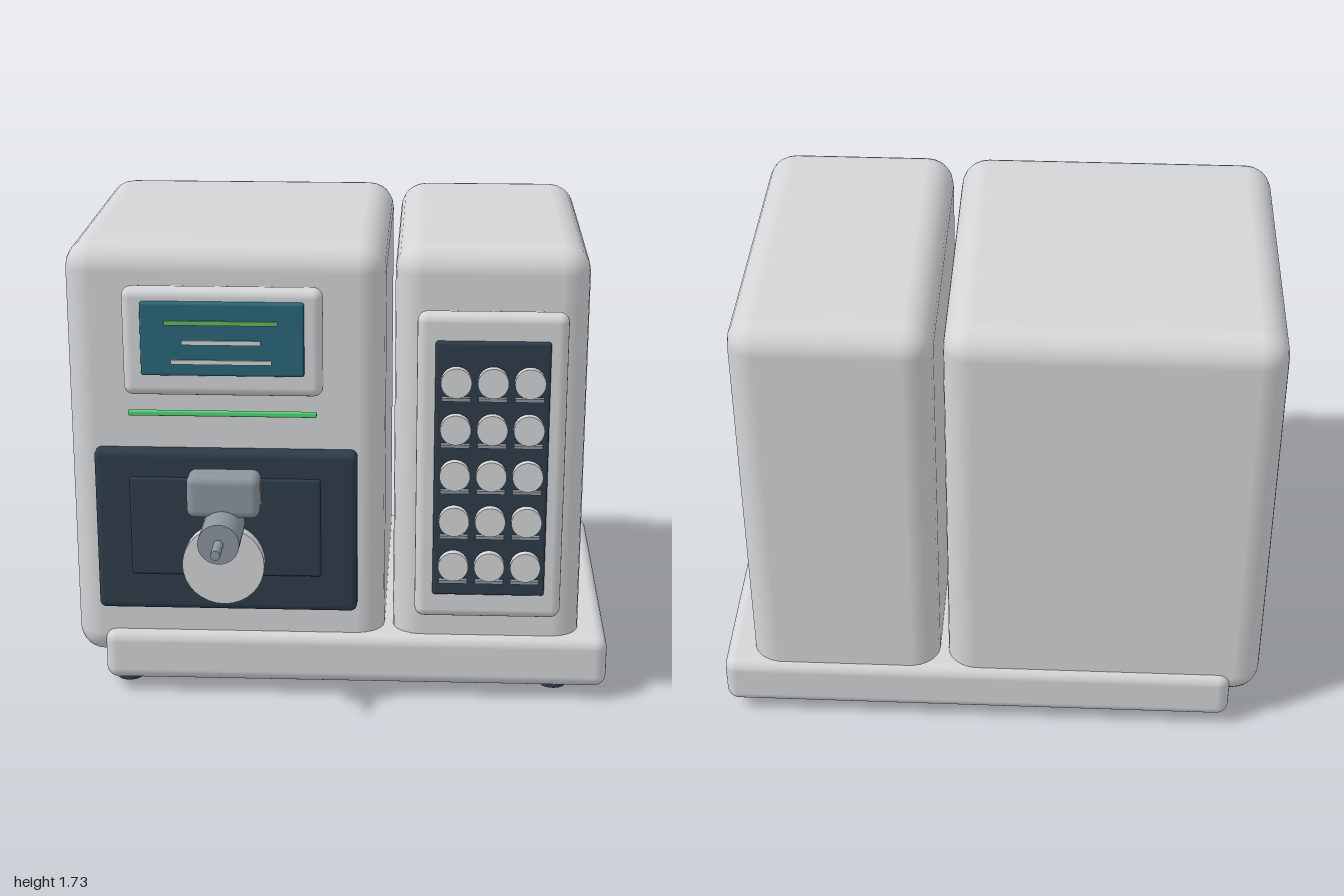
import * as THREE from 'three';
import { RoundedBoxGeometry } from 'three/addons/geometries/RoundedBoxGeometry.js';

const material = (name, color) => {
  const m = new THREE.MeshStandardMaterial({ color });
  m.name = name;
  return m;
};

export function createModel() {
  const model = new THREE.Group();
  model.name = 'coffeeMachine';

  const shell = material('light grey', 0xd4d5d7);
  const steel = material('steel grey', 0x8c959d);
  const dark = material('dark slate', 0x2d3c4a);
  const teal = material('screen teal', 0x2b667a);
  const green = material('indicator green', 0x55d276);
  const textGreen = material('text green', 0x63b85e);

  const add = (name, geometry, mat, x, y, z, parent = model) => {
    const mesh = new THREE.Mesh(geometry, mat);
    mesh.name = name;
    mesh.position.set(x, y, z);
    parent.add(mesh);
    return mesh;
  };

  // Rounded or plain box given by its limits on each axis
  const box = (name, mat, [x0, x1], [y0, y1], [z0, z1], radius = 0, parent = model) => {
    const size = [x1 - x0, y1 - y0, z1 - z0];
    const geometry = radius
      ? new RoundedBoxGeometry(...size, 3, radius)
      : new THREE.BoxGeometry(...size);
    return add(name, geometry, mat, (x0 + x1) / 2, (y0 + y1) / 2, (z0 + z1) / 2, parent);
  };

  // Cylinder lying along z
  const rod = (name, mat, x, y, [z0, z1], radius, parent = model) => {
    const geometry = new THREE.CylinderGeometry(radius, radius, z1 - z0, 32).rotateX(Math.PI / 2);
    return add(name, geometry, mat, x, y, (z0 + z1) / 2, parent);
  };

  // Base and feet
  box('base', shell, [-0.89, 1], [0.05, 0.25], [-0.855, 0.47], 0.045);
  for (const x of [-0.82, 0.808]) {
    for (const z of [-0.695, 0.31]) {
      add('foot', new THREE.CylinderGeometry(0.05, 0.05, 0.06, 24), dark, x, 0.03, z);
    }
  }

  // Two housings
  box('mainHousing', shell, [-1, 0.163], [0.13, 1.73], [-0.83, 0.435], 0.1);
  box('sideHousing', shell, [0.195, 0.893], [0.13, 1.73], [-0.83, 0.435], 0.1);

  // Display
  const display = new THREE.Group();
  display.name = 'display';
  model.add(display);
  box('displayFrame', shell, [-0.78, -0.06], [1.19, 1.59], [0.43, 0.507], 0.035, display);
  box('screen', teal, [-0.71, -0.125], [1.275, 1.545], [0.49, 0.53], 0.01, display);
  for (const [y, halfWidth, mat] of [[1.472, 0.202, textGreen], [1.4, 0.142, shell], [1.328, 0.18, shell]]) {
    box('screenLine', mat, [-0.42 - halfWidth, -0.42 + halfWidth], [y - 0.008, y + 0.008], [0.528, 0.536], 0, display);
  }
  box('statusStrip', green, [-0.76, -0.08], [1.128, 1.148], [0.525, 0.543], 0.006);

  // Brewing bay
  box('bayPanel', dark, [-0.9, 0.063], [0.353, 0.977], [0.42, 0.49], 0.025);
  box('bayInset', dark, [-0.77, -0.07], [0.497, 0.877], [0.46, 0.5], 0.01);
  box('brewHead', steel, [-0.55, -0.285], [0.76, 0.92], [0.49, 0.612], 0.03);
  rod('spoutBody', steel, -0.42, 0.717, [0.53, 0.75], 0.075);
  rod('spoutTip', steel, -0.42, 0.717, [0.74, 0.855], 0.018);
  rod('brewDisc', shell, -0.42, 0.577, [0.553, 0.6], 0.15);

  // Keypad
  const keypad = new THREE.Group();
  keypad.name = 'keypad';
  model.add(keypad);
  box('keypadFrame', shell, [0.277, 0.815], [0.345, 1.51], [0.43, 0.507], 0.035, keypad);
  box('keypadPanel', dark, [0.342, 0.752], [0.447, 1.412], [0.485, 0.528], 0.01, keypad);
  for (let row = 0; row < 5; row++) {
    for (let col = 0; col < 3; col++) {
      const x = 0.417 + col * 0.131;
      const y = 1.273 - row * 0.1745;
      rod('button', shell, x, y, [0.54, 0.572], 0.055, keypad);
      box('buttonLabel', steel, [x - 0.052, x + 0.052], [y - 0.074, y - 0.062], [0.525, 0.548], 0, keypad);
    }
  }

  return model;
}
